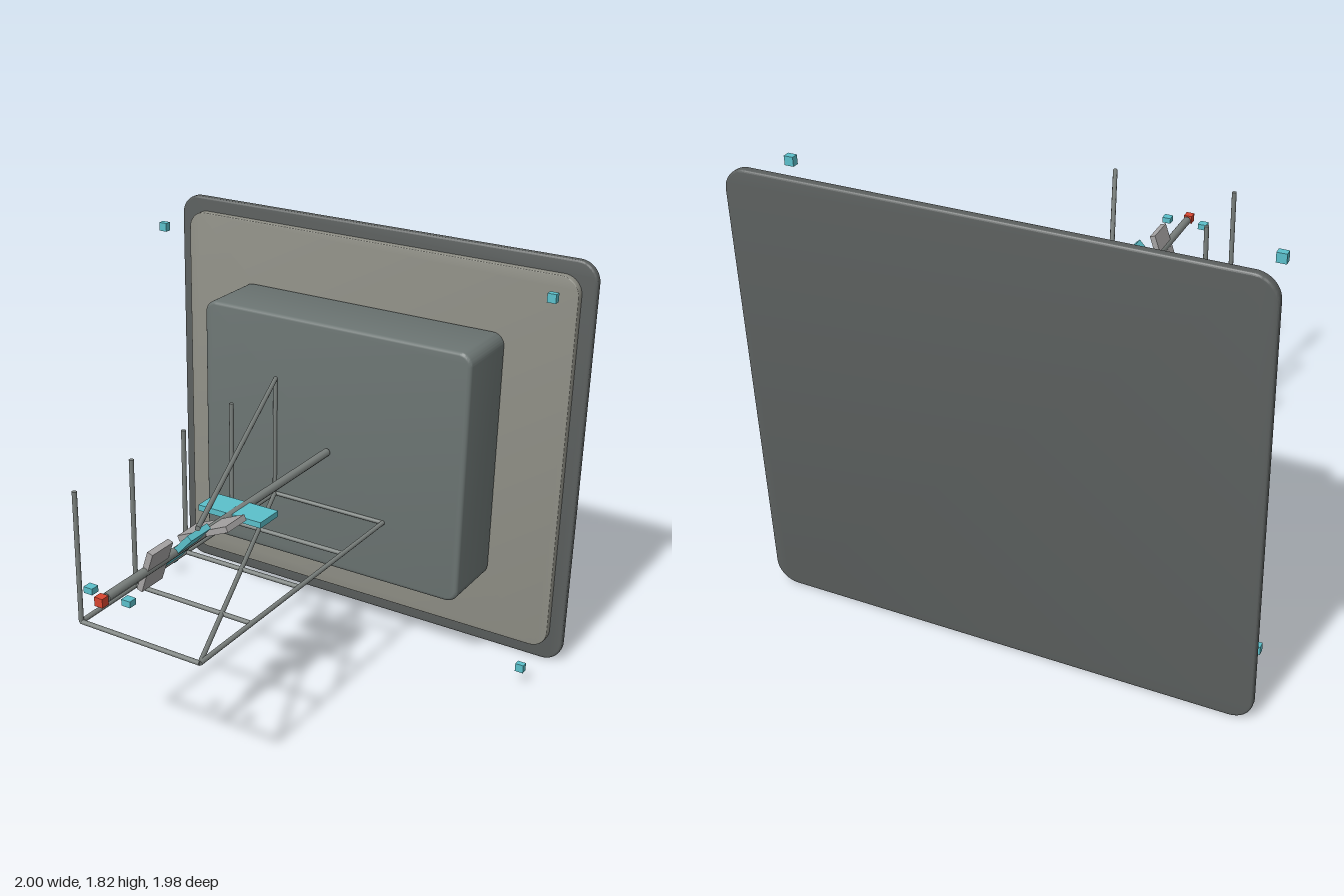
import * as THREE from 'three';
import { toCreasedNormals } from 'three/addons/utils/BufferGeometryUtils.js';

const mat = (color) => new THREE.MeshStandardMaterial({ color });
const DARK = mat(0x5b5f5e), BEIGE = mat(0x8f8f86), BODY = mat(0x6b7472);
const BAR = mat(0x7a807d), GREY = mat(0xa6a4a4), CYAN = mat(0x5bc0cb), RED = mat(0xd8452f);
const AXIS_Y = 0.91;

export function createModel() {
  const model = new THREE.Group();
  model.name = 'antennaAssembly';

  const add = (name, geometry, material, x = 0, y = 0, z = 0, parent = model) => {
    const mesh = new THREE.Mesh(geometry, material);
    mesh.name = name;
    mesh.position.set(x, y, z);
    parent.add(mesh);
    return mesh;
  };

  // Rounded rectangular slab between two z depths, with a small bevel on its rims
  const slab = (name, material, w, h, y, zBack, zFront, r, bevel) => {
    const a = w / 2 - bevel, b = h / 2 - bevel, c = r - bevel;
    const s = new THREE.Shape();
    s.moveTo(-a + c, -b);
    s.lineTo(a - c, -b);
    s.absarc(a - c, -b + c, c, -Math.PI / 2, 0);
    s.absarc(a - c, b - c, c, 0, Math.PI / 2);
    s.absarc(-a + c, b - c, c, Math.PI / 2, Math.PI);
    s.absarc(-a + c, -b + c, c, Math.PI, Math.PI * 1.5);
    const geometry = new THREE.ExtrudeGeometry(s, {
      depth: zFront - zBack - 2 * bevel, bevelEnabled: true, bevelSize: bevel,
      bevelThickness: bevel, bevelSegments: 3, curveSegments: 8,
    });
    add(name, toCreasedNormals(geometry, 0.6), material, 0, y, zBack + bevel);
  };

  slab('backPlate', DARK, 2, 1.82, 0.91, -0.99, -0.955, 0.09, 0.008);
  slab('frontPanel', BEIGE, 1.88, 1.69, 0.913, -0.958, -0.922, 0.08, 0.004);
  slab('housing', BODY, 1.285, 1.125, 0.912, -0.925, -0.61, 0.055, 0.015);

  // Round bar between two points
  const bar = (name, from, to, radius, parent = model) => {
    const p = new THREE.Vector3(...from), q = new THREE.Vector3(...to);
    const dir = q.clone().sub(p);
    const mesh = add(name, new THREE.CylinderGeometry(radius, radius, dir.length(), 10), BAR, 0, 0, 0, parent);
    mesh.position.copy(p).add(q).multiplyScalar(0.5);
    mesh.quaternion.setFromUnitVectors(new THREE.Vector3(0, 1, 0), dir.normalize());
  };

  // Open truss: lower rails, cross bars, posts on one side, diagonal braces
  const truss = new THREE.Group();
  truss.name = 'truss';
  model.add(truss);
  const X = 0.275, LOW = 0.638, HIGH = 1.184, Z0 = -0.61, Z1 = 0.76, R = 0.01;
  for (const x of [-X, X]) bar('lowerRail', [x, LOW, Z0], [x, LOW, Z1], R, truss);
  for (let i = 0; i < 5; i++) {
    const z = Z0 + ((Z1 - Z0) * i) / 4;
    bar('crossBar', [-X, LOW, z], [X, LOW, z], R, truss);
    bar('post', [-X, LOW, z], [-X, HIGH, z], R, truss);
  }
  for (const y of [LOW, HIGH]) bar('diagonalBrace', [-X, y, Z0], [X, y, Z1], R, truss);

  // Central boom with its tip
  bar('boom', [0, AXIS_Y, -0.59], [0, AXIS_Y, 0.94], 0.018);
  add('boomTip', new THREE.BoxGeometry(0.036, 0.036, 0.036), RED, 0, AXIS_Y, 0.967);
  for (const x of [-0.085, 0.085]) {
    add('tipSensor', new THREE.BoxGeometry(0.038, 0.025, 0.036), CYAN, x, AXIS_Y, 0.92);
  }

  // Shrinking vanes twisting around the boom
  const widths = [0.295, 0.25, 0.214, 0.176];
  widths.forEach((w, i) => {
    const vane = add('vane', new THREE.BoxGeometry(w, 0.025, 0.128),
      i % 2 ? GREY : CYAN, 0, AXIS_Y, 0.096 + i * 0.1845);
    vane.rotation.z = THREE.MathUtils.degToRad(24 * i);
  });

  // Floating markers at the four corners
  for (const x of [-0.92, 0.92]) {
    for (const y of [0.083, 1.737]) {
      add('cornerMarker', new THREE.BoxGeometry(0.037, 0.037, 0.028), CYAN, x, y, -0.703);
    }
  }
  return model;
}
